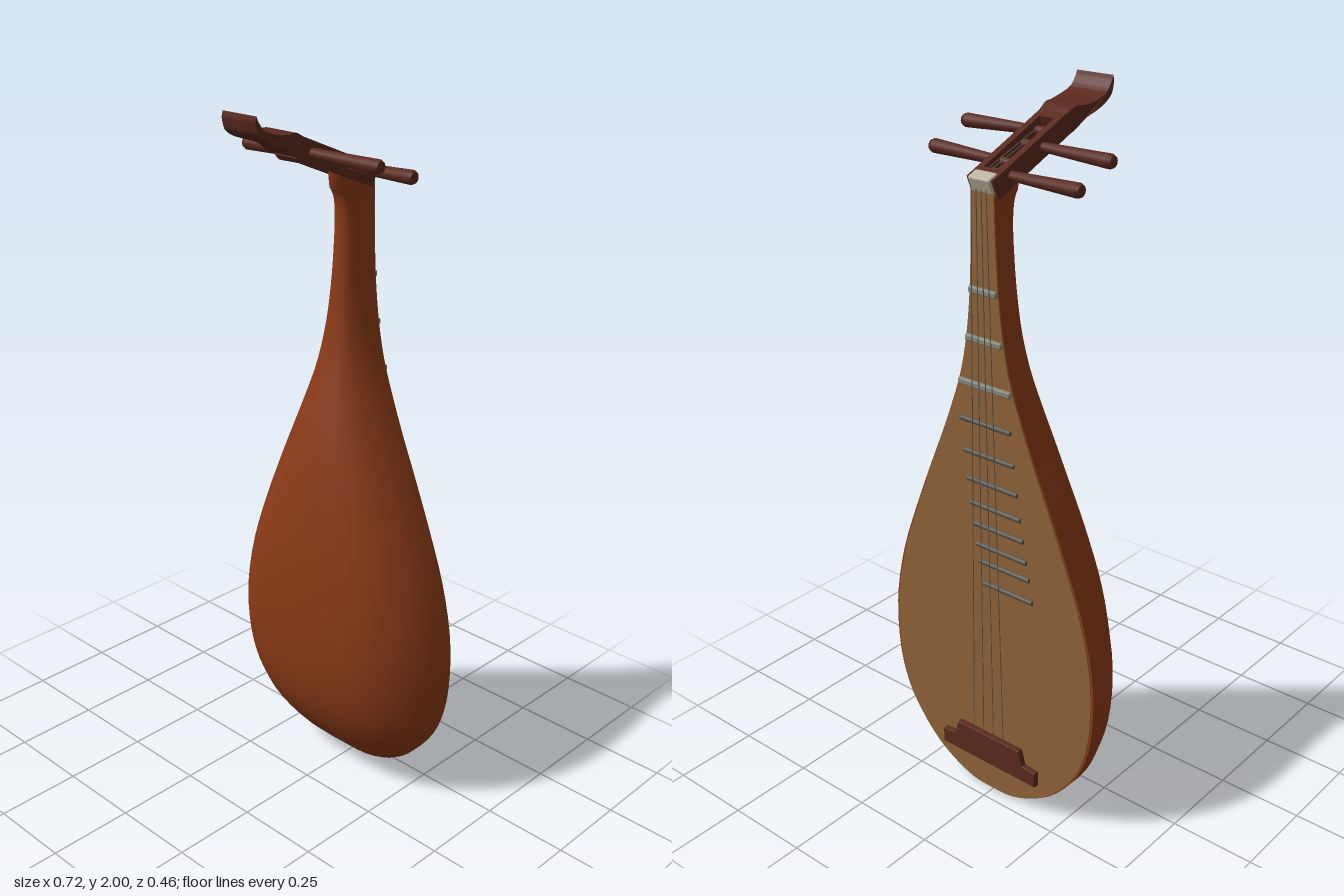
import * as THREE from 'three';
import { toCreasedNormals } from 'three/addons/utils/BufferGeometryUtils.js';
import { RoundedBoxGeometry } from 'three/addons/geometries/RoundedBoxGeometry.js';

const mat = (color) => new THREE.MeshStandardMaterial({ color });
const FACE_Z = -0.21; // plane of the soundboard

// body stations: height, half width, z of the rounded shell
const STATIONS = [
  [0, 0.001, -0.208], [0.012, 0.08, -0.19], [0.045, 0.16, -0.155], [0.1, 0.235, -0.1], [0.2, 0.312, -0.035],
  [0.3, 0.348, 0.002], [0.42, 0.361, 0.024], [0.55, 0.354, 0.033], [0.7, 0.32, 0.03], [0.85, 0.265, 0.015],
  [1.0, 0.203, -0.01], [1.1, 0.16, -0.031], [1.2, 0.12, -0.056], [1.3, 0.085, -0.08], [1.4, 0.063, -0.098],
  [1.5, 0.05, -0.108], [1.6, 0.043, -0.114], [1.7, 0.039, -0.115], [1.75, 0.038, -0.106], [1.78, 0.038, -0.085],
];
const rings = new THREE.CatmullRomCurve3(STATIONS.map((s) => new THREE.Vector3(s[1], s[0], s[2]))).getPoints(57);

// half cross-section: share of half width, share of depth
const HALF = [[0.9, 0], [1, 0], [1, 0.23], [0.94, 0.48], [0.8, 0.71], [0.62, 0.875], [0.39, 0.965]];
const SECTION = [...HALF, [0, 1], ...HALF.slice().reverse().map(([x, d]) => [-x, d])];

function shellGeometry() {
  const pos = [], index = [], n = SECTION.length;
  rings.forEach((r, j) => {
    for (const [sx, d] of SECTION) {
      const z = FACE_Z + d * (r.z - FACE_Z);
      // the last ring is cut on the slope of the peg box
      const y = j === rings.length - 1 ? 1.772 + 0.42 * (z - FACE_Z) : r.y;
      pos.push(sx * r.x, y, z);
    }
  });
  for (let j = 0; j < rings.length - 1; j++) {
    for (let i = 0; i < n - 1; i++) {
      const a = j * n + i, b = a + n;
      index.push(a, b, a + 1, a + 1, b, b + 1);
    }
  }
  const g = new THREE.BufferGeometry();
  g.setAttribute('position', new THREE.Float32BufferAttribute(pos, 3));
  g.setIndex(index);
  return toCreasedNormals(g, 0.85);
}

function boardGeometry() {
  const right = rings.map((r) => new THREE.Vector2(r.x * 0.98, Math.max(r.y, 0.006)));
  const left = right.slice().reverse().map((p) => new THREE.Vector2(-p.x, p.y));
  const g = new THREE.ExtrudeGeometry(new THREE.Shape([...right, ...left]), { depth: 0.012, bevelEnabled: false });
  return g.translate(0, 0, FACE_Z - 0.003);
}

// scroll: side profile (z, y) drawn across x, then flared in width
function scrollGeometry() {
  const v = (list) => list.map(([z, y]) => new THREE.Vector2(z, y));
  const s = new THREE.Shape();
  s.moveTo(0.045, 1.922);
  s.splineThru(v([[0.085, 1.942], [0.12, 1.943], [0.165, 1.95], [0.2, 1.963], [0.219, 1.985], [0.226, 2.0]]));
  s.lineTo(0.23, 1.985);
  s.splineThru(v([[0.221, 1.955], [0.195, 1.937], [0.16, 1.924], [0.12, 1.91], [0.085, 1.885], [0.05, 1.868]]));
  const g = new THREE.ExtrudeGeometry(s, { depth: 2, bevelEnabled: false, curveSegments: 16 });
  g.translate(0, 0, -1).rotateY(-Math.PI / 2);
  const p = g.attributes.position;
  for (let i = 0; i < p.count; i++) {
    const z = p.getZ(i);
    const w = 0.042 + 0.019 * THREE.MathUtils.smoothstep(z, 0.04, 0.16) - 0.003 * THREE.MathUtils.smoothstep(z, 0.16, 0.23);
    p.setX(i, p.getX(i) * w);
  }
  return toCreasedNormals(g, 0.6);
}

// round rod from a to b
function rod(name, a, b, ra, rb, material, sides = 10) {
  const from = new THREE.Vector3(...a), dir = new THREE.Vector3(...b).sub(from);
  const m = new THREE.Mesh(new THREE.CylinderGeometry(rb, ra, dir.length(), sides), material);
  m.name = name;
  m.position.copy(from).addScaledVector(dir, 0.5);
  m.quaternion.setFromUnitVectors(new THREE.Vector3(0, 1, 0), dir.normalize());
  return m;
}

export function createModel() {
  const root = new THREE.Group();
  root.name = 'lute';
  const shellMat = mat(0x8a3a17), boardMat = mat(0x8f6238), darkMat = mat(0x5a291e);
  const nutMat = mat(0xbdb5a0), fretMat = mat(0x85867a), rodMat = mat(0x55534c), stringMat = mat(0x5c5850);
  const add = (parent, name, geometry, material, x = 0, y = 0, z = 0) => {
    const m = new THREE.Mesh(geometry, material);
    m.name = name;
    m.position.set(x, y, z);
    parent.add(m);
    return m;
  };

  add(root, 'bodyShell', shellGeometry(), shellMat);
  add(root, 'soundboard', boardGeometry(), boardMat);

  // peg box, built flat (y along it, z through it) and tilted
  const TILT = 0.39, THICK = 0.055;
  const pegBox = new THREE.Group();
  pegBox.name = 'pegBox';
  pegBox.position.set(0, 1.815, -0.22);
  pegBox.rotation.x = Math.PI / 2 - TILT;
  root.add(pegBox);
  const rect = (T, w, y0, y1) => new T([[-w, y0], [w, y0], [w, y1], [-w, y1]].map((p) => new THREE.Vector2(...p)));
  const frame = rect(THREE.Shape, 0.042, 0, 0.3);
  frame.holes.push(rect(THREE.Path, 0.023, 0.045, 0.272));
  add(pegBox, 'pegBoxFrame', new THREE.ExtrudeGeometry(frame, { depth: THICK, bevelEnabled: false }), darkMat);
  add(pegBox, 'nut', new RoundedBoxGeometry(0.07, 0.036, 0.044, 3, 0.006), nutMat, 0, 0.011, 0.018);
  add(root, 'scroll', scrollGeometry(), darkMat);

  // pegs: side, z at the box, z, y at the tip
  const PEGS = [[-1, -0.149, -0.158, 1.815], [1, -0.11, -0.107, 1.836], [-1, -0.03, -0.037, 1.86], [1, 0.025, 0.016, 1.88]];
  const NUT_X = [-0.024, -0.008, 0.008, 0.024];
  PEGS.forEach(([side, zIn, zTip, yTip], i) => {
    const yIn = 1.815 + 0.41 * (zIn + 0.2095) - 0.0255;
    root.add(rod('peg', [-side * 0.04, yIn, zIn], [side * 0.25, yTip, zTip], 0.01, 0.019, darkMat, 12));
    root.add(rod('pegTip', [side * 0.25, yTip, zTip], [side * 0.26, yTip, zTip], 0.019, 0.015, darkMat, 12));
    root.add(rod('windingString', [NUT_X[i] * 0.7, 1.815, -0.205], [NUT_X[i] * 0.7, yIn + 0.01, zIn], 0.0014, 0.0014, stringMat, 5));
  });

  // strings over the soundboard
  NUT_X.forEach((x) => {
    root.add(rod('string', [x * 2.3, 0.18, -0.225], [x, 1.79, -0.225], 0.0014, 0.0014, stringMat, 5));
  });

  // large frets on the neck
  [[1.53, 0.045], [1.4, 0.06], [1.275, 0.088]].forEach(([y, w]) => {
    add(root, 'neckFret', new RoundedBoxGeometry(w * 2, 0.018, 0.016, 2, 0.005), fretMat, 0, y, -0.215);
  });

  // slim frets, drifting sideways toward the bridge
  [1.17, 1.08, 1.0, 0.93, 0.87, 0.81, 0.76, 0.695].forEach((y, i) => {
    const x = -0.01 * i;
    root.add(rod('bodyFret', [x - 0.086, y, -0.215], [x + 0.086, y, -0.215], 0.007, 0.007, rodMat, 8));
  });

  // stepped bridge
  const bridge = new THREE.Shape([
    [-0.17, 0.105], [0.17, 0.105], [0.17, 0.145], [0.125, 0.15], [0.112, 0.195],
    [-0.112, 0.195], [-0.125, 0.15], [-0.17, 0.145],
  ].map((p) => new THREE.Vector2(...p)));
  add(root, 'bridge', new THREE.ExtrudeGeometry(bridge, {
    depth: 0.014, bevelThickness: 0.003, bevelSize: 0.003, bevelSegments: 2,
  }), darkMat, 0, 0, -0.227);

  return root;
}
